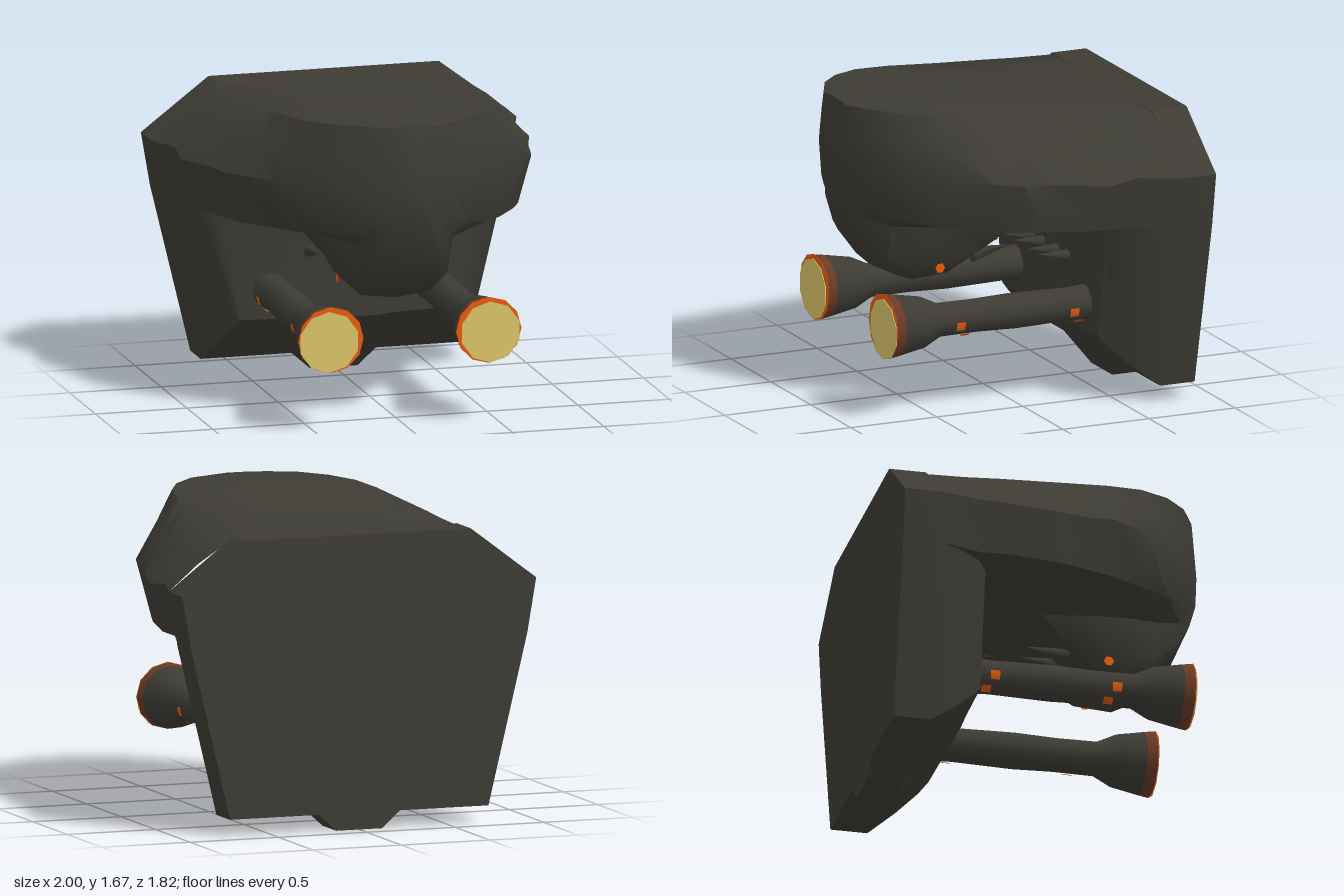
import * as THREE from 'three';
import { toCreasedNormals } from 'three/addons/utils/BufferGeometryUtils.js';

const mat = (name, color, side = THREE.FrontSide) => {
  const m = new THREE.MeshStandardMaterial({ color, side });
  m.name = name;
  return m;
};

// Loft mirrored half outlines (top centre to bottom centre) from back to front.
function loft(sections, backCentre, frontCentre, crease) {
  const loops = sections.map(({ z, half }) => {
    const left = half.map(([x, y]) => [-x, y, z]);
    const right = half.slice(1, -1).reverse().map(([x, y]) => [x, y, z]);
    return [...left, ...right];
  });
  const n = loops[0].length, pos = [];
  const tri = (a, b, c) => pos.push(...a, ...b, ...c);
  const first = loops[0], last = loops[loops.length - 1];
  for (let i = 0; i < n; i++) {
    const j = (i + 1) % n;
    for (let k = 0; k < loops.length - 1; k++) {
      const a = loops[k], b = loops[k + 1];
      tri(a[i], a[j], b[j]);
      tri(a[i], b[j], b[i]);
    }
    if (backCentre) tri(backCentre, first[j], first[i]);
    if (frontCentre) tri(frontCentre, last[i], last[j]);
  }
  const g = new THREE.BufferGeometry();
  g.setAttribute('position', new THREE.Float32BufferAttribute(pos, 3));
  return toCreasedNormals(g, crease);
}

export function createModel() {
  const group = new THREE.Group();
  const dark = mat('dark hide', 0x3d3b34);
  const yellow = mat('yellow', 0xdcc468);
  const orange = mat('orange', 0xe65c0c, THREE.DoubleSide);
  const brown = mat('brown', 0x6a3a26);
  const add = (name, geo, m, parent = group) => {
    const mesh = new THREE.Mesh(geo, m);
    mesh.name = name;
    parent.add(mesh);
    return mesh;
  };

  // Rear body: broad faceted slab tapering forward to the socket panel
  const outline = [[0, 1.57], [0.63, 1.57], [1, 1.29], [0.95, 1], [0.73, 0.09], [0.23, 0.09], [0.13, 0], [0, 0]];
  add('rearBody', loft([
    { z: -0.89, half: outline },
    { z: -0.69, half: outline },
    { z: -0.55, half: [[0, 1.45], [0.6, 1.45], [0.9, 1.25], [0.88, 1], [0.68, 0.2], [0.25, 0.2], [0.17, 0.18], [0, 0.18]] },
    { z: -0.44, half: [[0, 1.4], [0.6, 1.4], [0.85, 1.2], [0.8, 1], [0.63, 0.3], [0.25, 0.3], [0.16, 0.29], [0, 0.29]] },
    { z: -0.39, half: [[0, 1.4], [0.55, 1.4], [0.75, 1.2], [0.72, 1], [0.6, 0.36], [0.25, 0.35], [0.16, 0.34], [0, 0.34]] },
  ], [0, 0.9, -0.91], [0, 0.8, -0.39], 0.6), dark);

  // Overhanging head: z, top, shoulder, width, width height, lower height,
  // lower width, underside, snout half width, snout bottom
  const rows = [
    [-0.69, 1.57, 0.63, 1, 1.29, 1.02, 0.95, 0.95, 0.3, 0.92],
    [-0.47, 1.58, 0.62, 0.93, 1.3, 1.02, 0.88, 0.92, 0.3, 0.89],
    [-0.29, 1.59, 0.62, 0.955, 1.28, 1.02, 0.88, 0.92, 0.3, 0.9],
    [0, 1.61, 0.6, 0.87, 1.3, 1.03, 0.82, 0.93, 0.3, 0.9],
    [0.15, 1.625, 0.58, 0.84, 1.3, 1.03, 0.77, 0.95, 0.29, 0.76],
    [0.3, 1.64, 0.56, 0.8, 1.32, 1.04, 0.7, 0.97, 0.28, 0.67],
    [0.5, 1.655, 0.52, 0.67, 1.32, 1.05, 0.57, 0.99, 0.27, 0.65],
    [0.66, 1.665, 0.43, 0.52, 1.33, 1.07, 0.45, 1, 0.24, 0.73],
    [0.78, 1.672, 0.3, 0.37, 1.35, 1.1, 0.31, 1.04, 0.2, 0.89],
    [0.86, 1.665, 0.14, 0.2, 1.38, 1.2, 0.17, 1.15, 0.12, 1.08],
    [0.905, 1.48, 0.03, 0.06, 1.38, 1.3, 0.05, 1.27, 0.04, 1.22],
  ];
  add('head', loft(rows.map(([z, T, s, w, Y, L, wl, U, b, B]) => ({
    z,
    half: [
      [0, T], [s * 0.5, T], [s, T - 0.01], [s + (w - s) * 0.55, Y + (T - Y) * 0.5],
      [w, Y], [wl, L], [b + (wl - b) * 0.15, U],
      [b, B + (U - B) * 0.3], [b * 0.7, B + (U - B) * 0.07], [0, B],
    ],
  })), null, [0, 1.36, 0.91], 0.8), dark);

  // Spikes inside the mouth, pointing from root to tip
  const spike = (name, root, tip, r) => {
    const a = new THREE.Vector3(...root), b = new THREE.Vector3(...tip);
    const dir = b.clone().sub(a);
    const m = add(name, new THREE.ConeGeometry(r, dir.length(), 6), dark);
    m.position.copy(a).add(b).multiplyScalar(0.5);
    m.quaternion.setFromUnitVectors(new THREE.Vector3(0, 1, 0), dir.normalize());
  };

  for (const side of [-1, 1]) {
    for (const x of [0.09, 0.22]) {
      spike('upperSpike', [side * x, 0.78, 0.17], [side * x, 0.81, -0.05], 0.045);
      spike('lowerSpike', [side * x, 0.71, -0.4], [side * x, 0.735, -0.22], 0.035);
    }

    // Flared horizontal arm with a bright end
    const arm = new THREE.Group();
    arm.name = side > 0 ? 'leftArm' : 'rightArm';
    arm.position.set(side * 0.432, 0.51, 0);
    group.add(arm);
    const lathe = (pts) => new THREE.LatheGeometry(pts.map(([r, z]) => new THREE.Vector2(r, z)), 12).rotateX(Math.PI / 2);
    add('armShaft', lathe([[0.1, -0.45], [0.09, -0.3], [0.097, 0.03], [0.09, 0.25], [0.092, 0.47], [0.14, 0.57], [0.168, 0.72]]), dark, arm);
    add('armRim', lathe([[0.168, 0.72], [0.177, 0.775]]), brown, arm);
    add('armEnd', lathe([[0.177, 0.775], [0.179, 0.78], [0, 0.78]]), orange, arm);
    const cap = add('armCap', new THREE.CylinderGeometry(0.165, 0.165, 0.006, 10).rotateX(Math.PI / 2), yellow, arm);
    cap.position.set(side * 0.01, -0.012, 0.781);

    // Orange spots on the outer underside of the shaft
    for (const z of [0.37, -0.29]) {
      for (const [angle, dz] of [[1.3, 0], [0.45, -0.04]]) {
        const spot = add('armSpot', new THREE.CylinderGeometry(0.099, 0.099, 0.05, 4, 1, true, side * angle - 0.25, 0.5).rotateX(Math.PI / 2), orange, arm);
        spot.position.z = z + dz;
      }
    }

    // Small spot on each side of the snout
    const spot = add('snoutSpot', new THREE.CircleGeometry(0.028, 6).rotateY(side * Math.PI / 2), orange);
    spot.position.set(side * 0.284, 0.745, 0.38);
  }
  return group;
}
